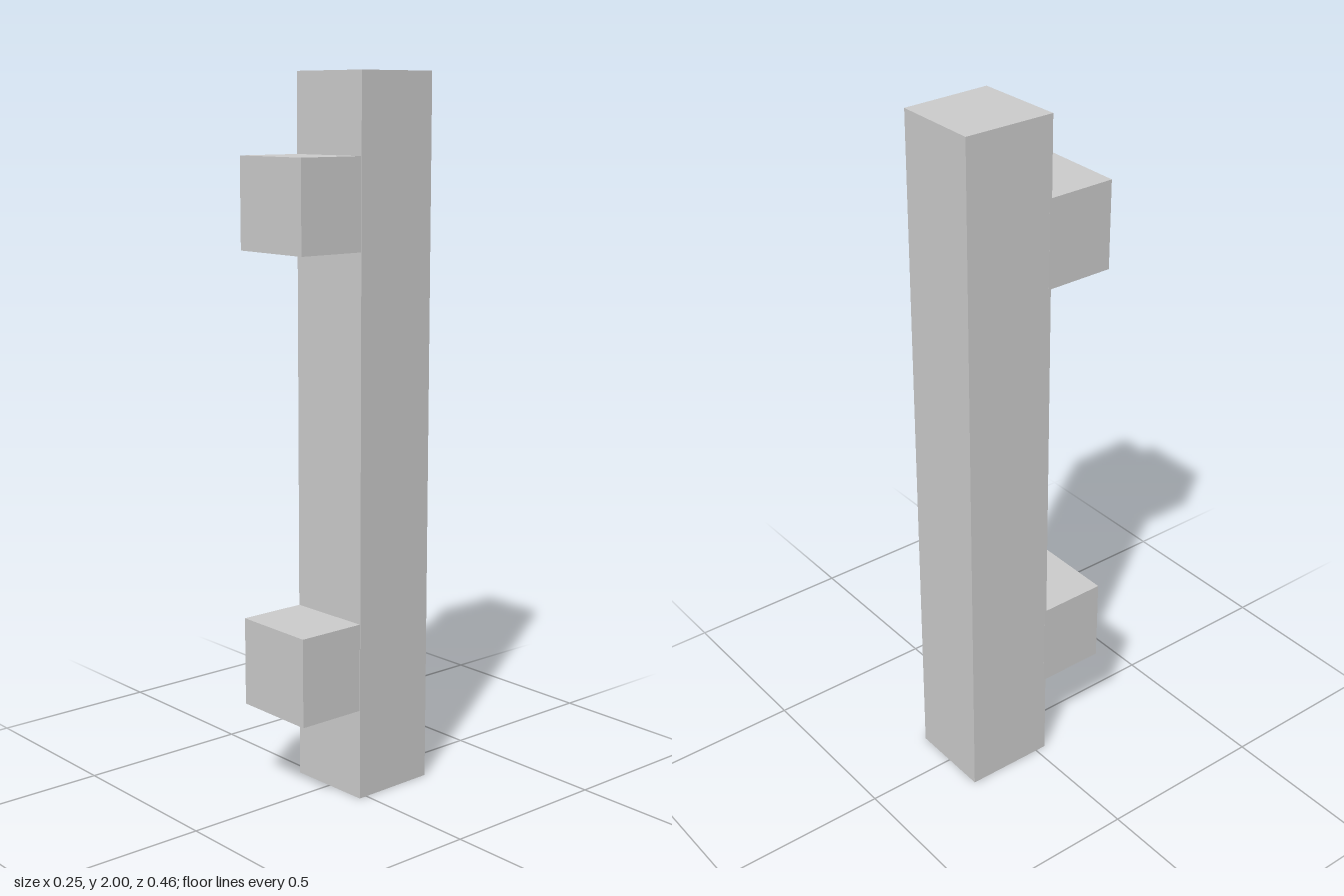
import * as THREE from 'three';

export function createModel() {
  const group = new THREE.Group();
  group.name = 'pullHandle';
  const material = new THREE.MeshStandardMaterial({ color: 0xcccccc, flatShading: true });

  // Upright bar: slightly uneven four-sided section, given as (x, -z), extruded upwards
  const section = new THREE.Shape([
    new THREE.Vector2(-0.128, -0.032),
    new THREE.Vector2(0.127, -0.025),
    new THREE.Vector2(0.123, 0.23),
    new THREE.Vector2(-0.125, 0.23),
  ]);
  const barGeometry = new THREE.ExtrudeGeometry(section, { depth: 2, bevelEnabled: false });
  barGeometry.rotateX(-Math.PI / 2);
  const bar = new THREE.Mesh(barGeometry, material);
  bar.name = 'bar';
  group.add(bar);

  // Two mounting blocks standing out from the front of the bar
  const back = 0.025, front = 0.228;
  const blockGeometry = new THREE.BoxGeometry(0.253, 0.25, front - back);
  for (const [name, y] of [['lowerMount', 0.384], ['upperMount', 1.655]]) {
    const block = new THREE.Mesh(blockGeometry, material);
    block.name = name;
    block.position.set(-0.0015, y, (front + back) / 2);
    group.add(block);
  }
  return group;
}
